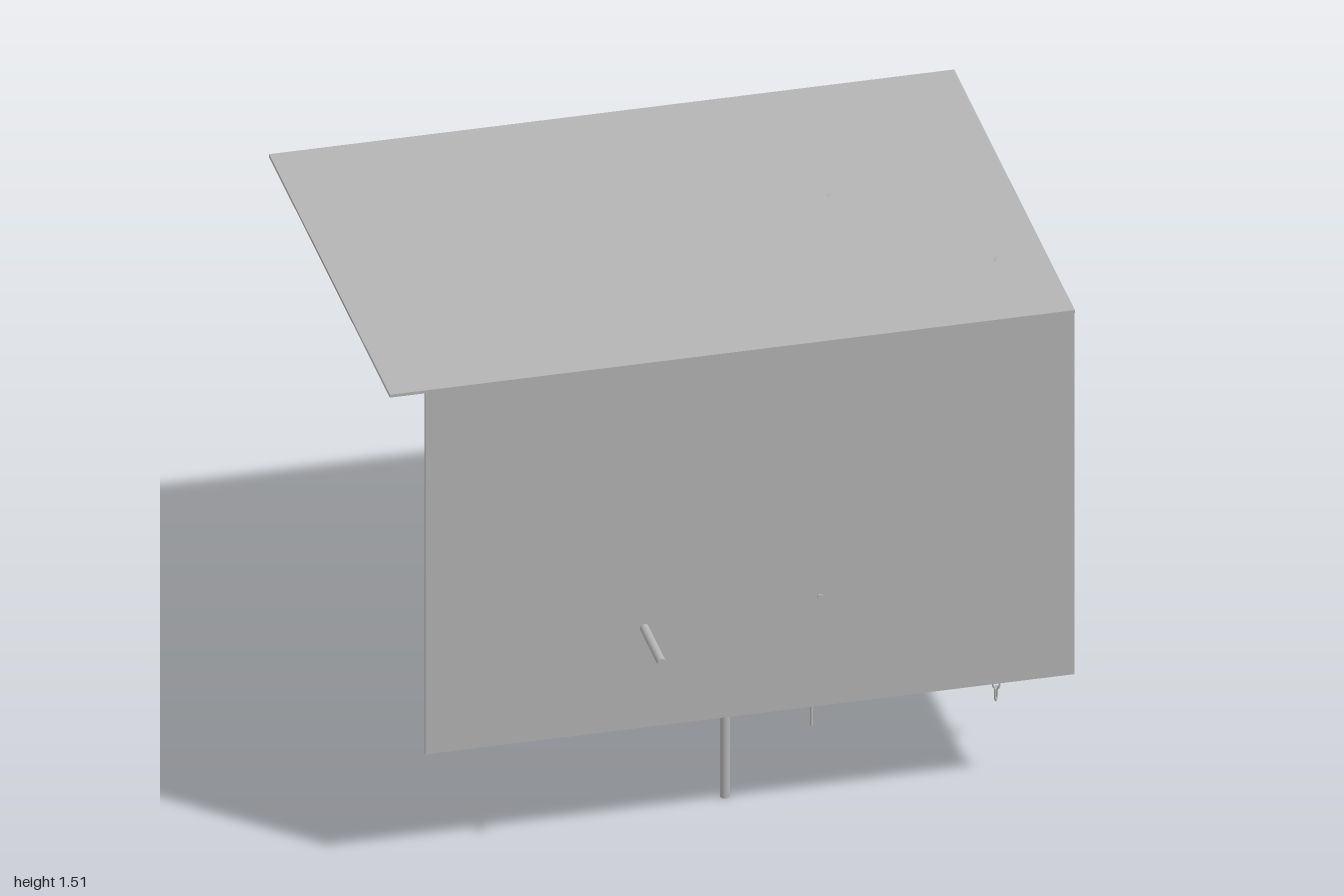
import * as THREE from 'three';

export function createModel() {
  const model = new THREE.Group();
  model.name = 'gearMechanism';
  const make = (name, color) => {
    const m = new THREE.MeshStandardMaterial({ color });
    m.name = name;
    return m;
  };
  const steel = make('greyMetal', 0xb4b4b4);
  const rust = make('rustBrown', 0x78564c);

  const add = (name, geo, mat, x, y, z) => {
    const mesh = new THREE.Mesh(geo, mat);
    mesh.name = name;
    mesh.position.set(x, y, z);
    model.add(mesh);
    return mesh;
  };

  // Box given by its min and max on each axis
  const box = (name, x0, x1, y0, y1, z0, z1) =>
    add(name, new THREE.BoxGeometry(x1 - x0, y1 - y0, z1 - z0), steel,
      (x0 + x1) / 2, (y0 + y1) / 2, (z0 + z1) / 2);

  // Round bar along z
  const axle = (name, x, y, z0, z1, r) => {
    const geo = new THREE.CylinderGeometry(r, r, z1 - z0, 16).rotateX(Math.PI / 2);
    return add(name, geo, steel, x, y, (z0 + z1) / 2);
  };

  // Upright round bar
  const upright = (name, x, z, y0, y1, r) =>
    add(name, new THREE.CylinderGeometry(r, r, y1 - y0, 16), steel, x, (y0 + y1) / 2, z);

  // Toothed wheel in the xy plane with a centre hole
  const gear = (name, mat, x, y, z, radius, teeth, hole, depth, turn = 0) => {
    const root = radius * 0.73;
    const shape = new THREE.Shape();
    const step = (Math.PI * 2) / teeth;
    for (let i = 0; i < teeth; i++) {
      [[-0.36, root], [-0.2, radius * 0.93], [-0.12, radius],
        [0.12, radius], [0.2, radius * 0.93], [0.36, root]].forEach(([k, r], j) => {
        const a = (i + k) * step + turn;
        const p = [Math.cos(a) * r, Math.sin(a) * r];
        if (i + j === 0) shape.moveTo(...p);
        else shape.lineTo(...p);
      });
    }
    shape.closePath();
    const cut = new THREE.Path();
    cut.absarc(0, 0, hole, 0, Math.PI * 2, true);
    shape.holes.push(cut);
    const geo = new THREE.ExtrudeGeometry(shape, { depth, bevelEnabled: false, curveSegments: 10 });
    return add(name, geo.translate(0, 0, -depth / 2), mat, x, y, z);
  };

  // Housing: open at the back, the right and below
  box('frontPanel', -0.9, 0.91, 0.37, 1.5, 0.583, 0.592);
  box('sidePanel', 0.9, 0.909, 0.405, 1.5, -0.757, 0.585);
  box('topPanel', -1, 0.91, 1.497, 1.506, -0.757, 0.595);

  // Flat weights
  box('sideWeight', 0.85, 1.0, 0.37, 0.815, -0.02, 0.024);
  box('sideWeightTab', 0.893, 0.916, 0.81, 0.85, -0.02, 0.024);
  box('middleWeight', -0.03, 0.12, 0.35, 0.815, -0.02, 0.024);

  // Axles
  axle('longAxle', 0.2, 0.71, -0.788, 0.598, 0.008);
  axle('crankAxle', -0.29, 0.68, 0, 0.79, 0.0125);
  axle('shortAxle', 0.65, 0.63, -0.35, 0.5, 0.01);

  // Upright post and thin hanging rods
  upright('post', -0.012, 0.38, 0, 1.5, 0.014);
  upright('hangingRodFront', 0.27, 0.215, 0.09, 1.0, 0.004);
  upright('hangingRodBack', 0.63, -0.03, 0.035, 0.95, 0.004);

  // Brown gears
  gear('crankGear', rust, -0.29, 0.68, 0.5, 0.17, 9, 0.013, 0.06);
  gear('driveGear', rust, 0.01, 0.665, 0.43, 0.2, 11, 0.02, 0.06, 0.1);
  gear('pinionOnLongAxle', rust, 0.2, 0.71, 0.37, 0.06, 8, 0.008, 0.05);
  gear('longAxleGear', rust, 0.2, 0.71, -0.12, 0.135, 9, 0.008, 0.06, 0.2);
  gear('shortAxleGear', rust, 0.65, 0.625, 0.07, 0.16, 10, 0.01, 0.06);
  gear('shortAxlePinion', rust, 0.63, 0.62, 0.28, 0.06, 8, 0.01, 0.05);
  gear('upperPinion', rust, -0.39, 0.88, 0.51, 0.075, 9, 0.012, 0.05);

  // Grey gears
  gear('upperGreyGear', steel, 0.7, 1.07, -0.14, 0.16, 9, 0.05, 0.05);
  gear('lowerGreyGear', steel, 0.62, 0.92, -0.1, 0.095, 8, 0.03, 0.05);
  gear('smallGreyGear', steel, 0.305, 0.835, 0.07, 0.09, 8, 0.03, 0.05);

  // Balance ring
  add('balanceRing', new THREE.TorusGeometry(0.31, 0.026, 12, 48), steel, 0.42, 1.075, 0.38);

  // Chains of long links, each turned a quarter from the last
  const linkPath = new THREE.CurvePath();
  const pts = [];
  for (let i = 0; i < 16; i++) {
    const a = (i / 16) * Math.PI * 2;
    pts.push(new THREE.Vector3(Math.cos(a) * 0.009, Math.sin(a) * 0.009 + Math.sign(Math.sin(a + 0.01)) * 0.012, 0));
  }
  const linkGeo = new THREE.TubeGeometry(new THREE.CatmullRomCurve3(pts, true), 20, 0.003, 6, true);
  const chain = (name, x, z) => {
    const group = new THREE.Group();
    group.name = name;
    for (let i = 0; i < 39; i++) {
      const link = new THREE.Mesh(linkGeo, steel);
      link.name = 'chainLink';
      link.position.y = 0.155 + i * 0.0351;
      link.rotation.y = 1.03 + (i % 2) * Math.PI / 2;
      group.add(link);
    }
    group.position.set(x, 0, z);
    model.add(group);
  };
  chain('backChain', 0.415, -0.17);
  chain('frontChain', 0.77, 0.275);

  return model;
}
